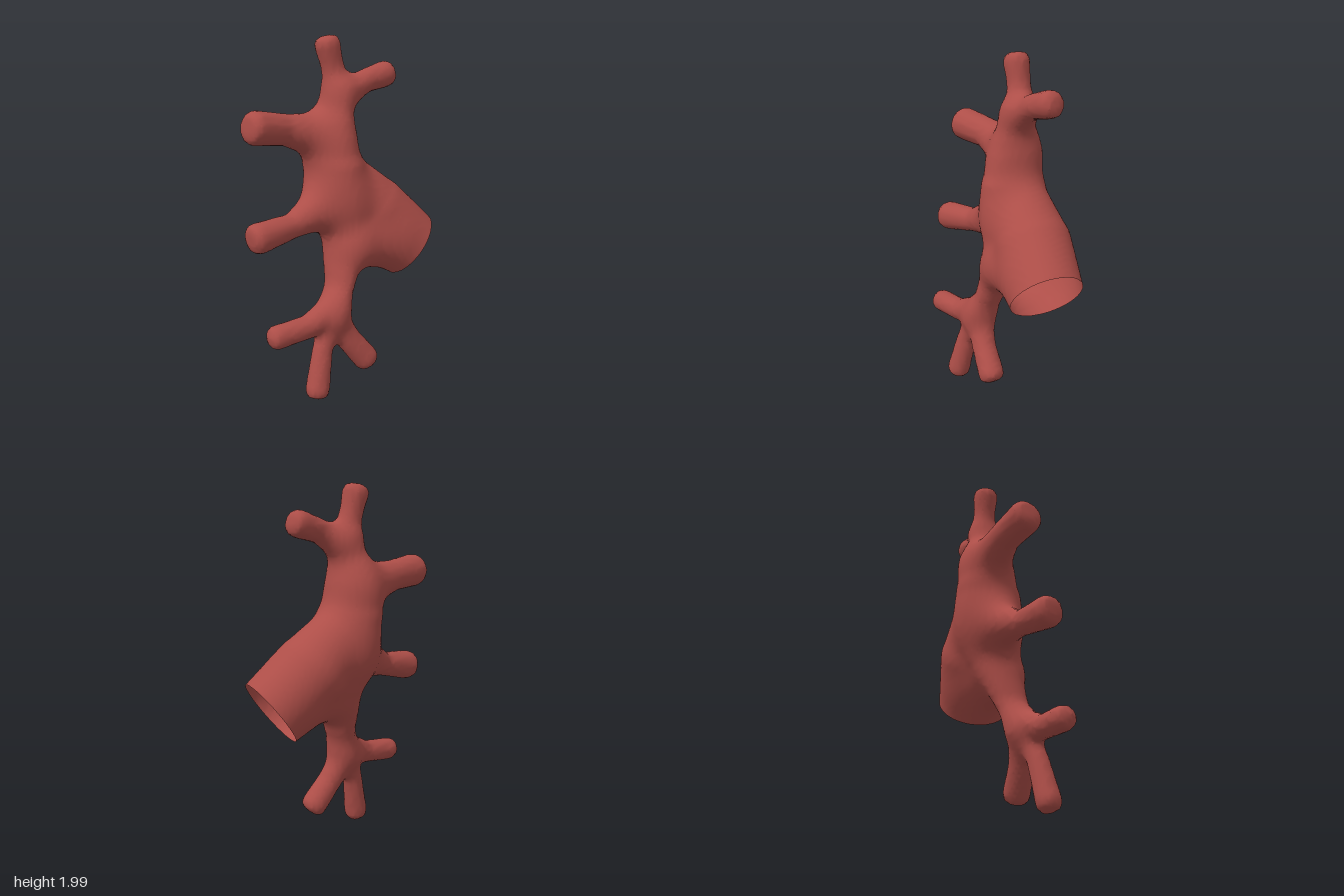
import * as THREE from 'three';

const V = (x, y, z) => new THREE.Vector3(x, y, z);

// Trunk opening
const MOUTH = V(0.437, 0.78, 0.098);
const MOUTH_DIR = V(0.72, -0.6, 0.34).normalize();

// A part is a path of points with a radius at each; depth stretches its section along z,
// blend is the fillet where it joins the others, blunt squares off the free end.
const vessel = (name, depth, points, radii) => ({ name, depth, points, radii, blend: 0.08, blunt: false });

// A side branch runs from a flared root through its waist to a blunt tip
const branch = (name, root, waist, tip, radii) =>
  ({ name, depth: 1, points: [root, waist, tip], radii, blend: radii[0] * 0.9, blunt: true });

const SPINE = [V(0.045, 1.7, -0.09), V(0.01, 1.5, -0.095), V(0, 1.28, -0.09), V(0.035, 0.9, -0.035), V(-0.05, 0.63, 0.025), V(-0.13, 0.45, 0.048)];
const TRUNK = [V(0.05, 1.2, -0.085), V(0.24, 0.99, -0.01), MOUTH, MOUTH.clone().addScaledVector(MOUTH_DIR, 0.15)];
const FLARE = [V(0.1, 0.835, 0.03), V(0.29, 0.83, 0.06)];

const PARTS = [
  vessel('centralVessel', 1.5, SPINE, [0.068, 0.088, 0.131, 0.105, 0.07, 0.055]),
  vessel('openTrunk', 1, TRUNK, [0.165, 0.211, 0.202, 0.2]),
  vessel('trunkFlare', 1, FLARE, [0.145, 0.163]),
  branch('topBranch', V(0.06, 1.68, -0.1), V(0.02, 1.85, -0.118), V(-0.012, 1.991, -0.13), [0.07, 0.064, 0.077]),
  branch('upperLeftBranch', V(0.05, 1.66, -0.08), V(0.2, 1.743, -0.035), V(0.383, 1.788, -0.008), [0.075, 0.066, 0.078]),
  branch('upperRightBranch', V(-0.02, 1.44, -0.13), V(-0.27, 1.498, -0.178), V(-0.515, 1.53, -0.182), [0.132, 0.087, 0.096]),
  branch('middleRightBranch', V(0, 1.08, -0.085), V(-0.3, 0.98, -0.09), V(-0.575, 0.945, -0.1), [0.145, 0.069, 0.09]),
  branch('lowerRightBranch', V(-0.12, 0.5, 0.05), V(-0.3, 0.43, 0.038), V(-0.548, 0.41, 0), [0.08, 0.066, 0.067]),
  branch('bottomBranch', V(-0.15, 0.44, 0.05), V(-0.22, 0.28, 0.065), V(-0.288, 0.009, 0.088), [0.06, 0.058, 0.071]),
  branch('lowerLeftBranch', V(-0.12, 0.44, 0.05), V(-0.04, 0.295, 0.095), V(0.082, 0.13, 0.142), [0.075, 0.07, 0.077]),
];

const smoothMin = (a, b, k) => Math.min(a, b) - Math.max(k - Math.abs(a - b), 0) ** 2 / (4 * k);

// Distance from a point to a tapered, rounded path
function partDistance({ points, radii, depth, blunt }, x, y, z) {
  let best = Infinity;
  for (let i = 0; i + 1 < points.length; i++) {
    const a = points[i], b = points[i + 1];
    const bx = b.x - a.x, by = b.y - a.y, bz = (b.z - a.z) / depth;
    const px = x - a.x, py = y - a.y, pz = (z - a.z) / depth;
    const cut = blunt && i === points.length - 2;
    const t = (px * bx + py * by + pz * bz) / (bx * bx + by * by + bz * bz);
    const h = Math.min(Math.max(t, 0), cut ? 2 : 1);
    const radius = radii[i] + (radii[i + 1] - radii[i]) * Math.min(h, 1);
    const d = Math.hypot(px - bx * h, py - by * h, pz - bz * h) - radius;
    // A blunt end is cut square with a rounded rim
    const past = (t - 1) * Math.hypot(bx, by, bz);
    best = Math.min(best, cut ? -smoothMin(-d, -past, 0.06) : d);
  }
  return best;
}

const field = (x, y, z) =>
  PARTS.reduce((sum, part) => smoothMin(sum, partDistance(part, x, y, z), part.blend), 10);

// Index of the part nearest to a point
function nearestPart(p) {
  const d = PARTS.map((part) => partDistance(part, p.x, p.y, p.z));
  return d.indexOf(Math.min(...d));
}

// Skin the blended paths: one point per crossed grid cell, one quad per crossed grid edge
function buildSkin() {
  const step = 0.022, origin = V(-0.66, -0.06, -0.38), size = [62, 96, 38];
  const stride = [1, size[0], size[0] * size[1]];
  const values = new Float32Array(size[0] * size[1] * size[2]);
  const toWorld = (i, j, k) => V(i, j, k).multiplyScalar(step).add(origin);
  const each = (lo, hi, visit) => {
    for (let k = lo; k < size[2] - hi; k++)
      for (let j = lo; j < size[1] - hi; j++)
        for (let i = lo; i < size[0] - hi; i++) visit(i + j * stride[1] + k * stride[2], i, j, k);
  };
  each(0, 0, (n, i, j, k) => { values[n] = field(...toWorld(i, j, k)); });

  const points = [], cellPoint = new Map();
  each(0, 1, (n, i, j, k) => {
    const sum = V(0, 0, 0);
    let count = 0;
    for (let corner = 0; corner < 8; corner++)
      for (let a = 0; a < 3; a++) {
        if (corner & (1 << a)) continue;
        const o = [corner & 1, (corner >> 1) & 1, (corner >> 2) & 1];
        const m = n + o[0] + o[1] * stride[1] + o[2] * stride[2];
        const f = values[m], g = values[m + stride[a]];
        if (f < 0 === g < 0) continue;
        o[a] = f / (f - g);
        sum.add(V(...o));
        count++;
      }
    if (!count) return;
    cellPoint.set(n, points.length);
    sum.divideScalar(count);
    points.push(toWorld(i + sum.x, j + sum.y, k + sum.z));
  });

  // Trim the trunk flat at its mouth
  const trimmed = points.map((p) => {
    const over = p.clone().sub(MOUTH).dot(MOUTH_DIR);
    if (over <= 0 || p.distanceTo(MOUTH) > 0.42) return false;
    p.addScaledVector(MOUTH_DIR, -over);
    return true;
  });

  const faces = PARTS.map(() => []);
  each(1, 1, (n) => {
    for (let a = 0; a < 3; a++) {
      const inside = values[n] < 0;
      if (inside === values[n + stride[a]] < 0) continue;
      const u = stride[(a + 1) % 3], v = stride[(a + 2) % 3];
      const q = [n - u - v, n - v, n, n - u].map((m) => cellPoint.get(m));
      if (!inside) q.reverse();
      const list = faces[nearestPart(points[q[0]])];
      for (const tri of [[q[0], q[1], q[2]], [q[0], q[2], q[3]]])
        if (!tri.every((i) => trimmed[i])) list.push(...tri);
    }
  });
  return { points, faces };
}

export function createModel() {
  const group = new THREE.Group();
  group.name = 'branchingVessel';
  const vesselRed = new THREE.MeshStandardMaterial({ color: 0xad4e48, side: THREE.DoubleSide });
  vesselRed.name = 'vesselRed';

  // Shared points and normals keep the joins between parts seamless
  const { points, faces } = buildSkin();
  const skin = new THREE.BufferGeometry().setFromPoints(points);
  skin.setIndex(faces.flat());
  skin.computeVertexNormals();

  PARTS.forEach((part, i) => {
    const geometry = new THREE.BufferGeometry();
    geometry.setAttribute('position', skin.attributes.position);
    geometry.setAttribute('normal', skin.attributes.normal);
    geometry.setIndex(faces[i]);
    const mesh = new THREE.Mesh(geometry, vesselRed);
    mesh.name = part.name;
    group.add(mesh);
  });
  return group;
}
